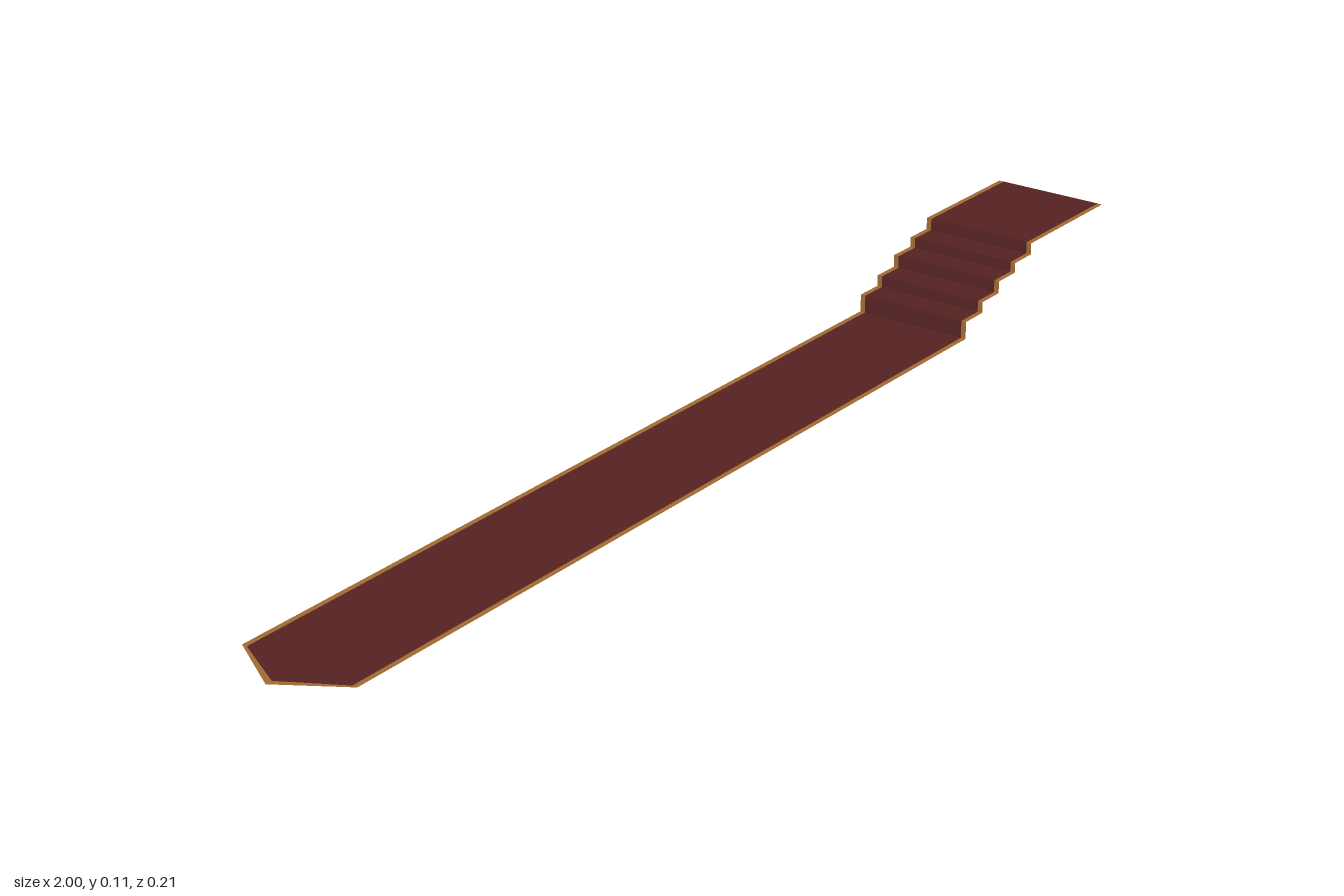
import * as THREE from 'three';

const HALF = 0.104, INNER = 0.095; // half widths of the runner and of its red field
const SHOULDER = -0.935, TIP = -1, TIP_INNER = -0.988;

const carpetRed = new THREE.MeshStandardMaterial({ color: 0x552222, side: THREE.DoubleSide });
carpetRed.name = 'carpetRed';
const trimGold = new THREE.MeshStandardMaterial({ color: 0xa06a32, side: THREE.DoubleSide });
trimGold.name = 'trimGold';

// Side profile: long flat run, five risers, upper landing
function profile() {
  const heights = [0.03, 0.049, 0.07, 0.087, 0.107];
  const pts = [[SHOULDER, 0]];
  let y = 0;
  heights.forEach((h, i) => {
    const x = 0.565 + i * 0.05;
    pts.push([x, y], [x, h]);
    y = h;
  });
  pts.push([1, y]);
  return pts;
}

// Folded sheet following the profile between two depths
function strip(z0, z1) {
  const pos = [];
  const pts = profile();
  for (let i = 0; i < pts.length - 1; i++) {
    const [ax, ay] = pts[i], [bx, by] = pts[i + 1];
    pos.push(ax, ay, z0, ax, ay, z1, bx, by, z1);
    pos.push(ax, ay, z0, bx, by, z1, bx, by, z0);
  }
  const g = new THREE.BufferGeometry();
  g.setAttribute('position', new THREE.Float32BufferAttribute(pos, 3));
  g.computeVertexNormals();
  return g;
}

// Flat floor piece from an outline in x and depth
function flat(points) {
  const shape = new THREE.Shape(points.map(([x, z]) => new THREE.Vector2(x, -z)));
  return new THREE.ShapeGeometry(shape).rotateX(-Math.PI / 2);
}

export function createModel() {
  const group = new THREE.Group();
  group.name = 'carpetRunner';
  const add = (name, geometry, material) => {
    const mesh = new THREE.Mesh(geometry, material);
    mesh.name = name;
    group.add(mesh);
  };

  // Red field with its pointed end
  add('carpet', strip(-INNER, INNER), carpetRed);
  add('carpetPoint', flat([[SHOULDER, INNER], [SHOULDER, -INNER], [TIP_INNER, 0]]), carpetRed);

  // Gold borders along both sides and around the point
  add('leftTrim', strip(INNER, HALF), trimGold);
  add('rightTrim', strip(-HALF, -INNER), trimGold);
  add('pointTrim', flat([
    [SHOULDER, HALF], [SHOULDER, INNER], [TIP_INNER, 0],
    [SHOULDER, -INNER], [SHOULDER, -HALF], [TIP, 0],
  ]), trimGold);

  return group;
}
